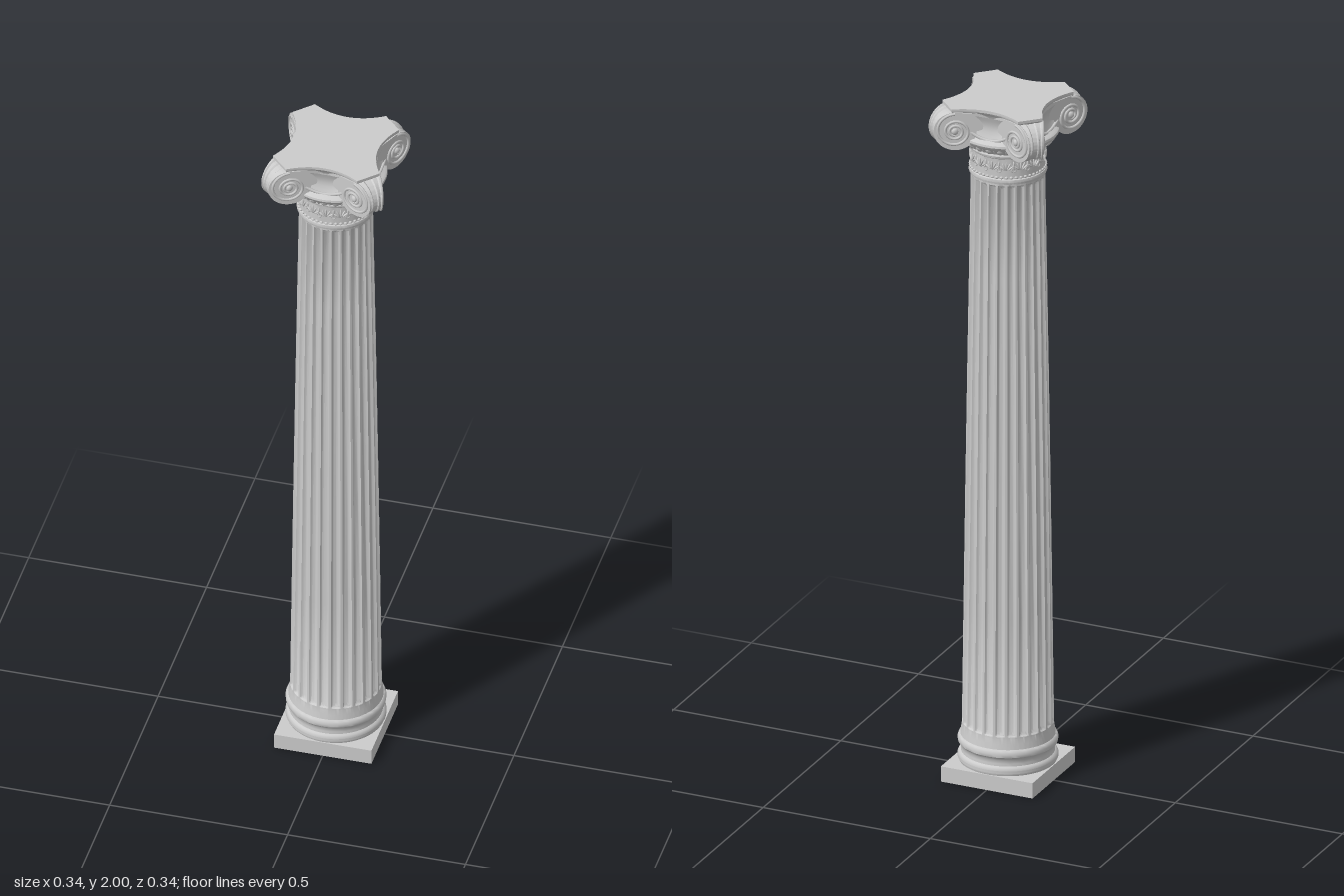
import * as THREE from 'three';
import { mergeGeometries, toCreasedNormals } from 'three/addons/utils/BufferGeometryUtils.js';
import { ParametricGeometry } from 'three/addons/geometries/ParametricGeometry.js';

const stone = new THREE.MeshStandardMaterial({ color: 0xcccccc, side: THREE.DoubleSide });
const V3 = (x, y, z) => new THREE.Vector3(x, y, z);

function add(parent, name, geometry, x = 0, y = 0, z = 0) {
  const mesh = new THREE.Mesh(geometry, stone);
  mesh.name = name;
  mesh.position.set(x, y, z);
  parent.add(mesh);
  return mesh;
}

const lathe = (pts, segments = 64) =>
  toCreasedNormals(new THREE.LatheGeometry(pts.map(p => new THREE.Vector2(...p)), segments), 0.6);

// Move every vertex of a geometry by a rule
function warp(geo, rule) {
  const p = geo.attributes.position, v = V3(0, 0, 0);
  for (let i = 0; i < p.count; i++) {
    rule(v.fromBufferAttribute(p, i));
    p.setXYZ(i, v.x, v.y, v.z);
  }
  return geo;
}

// Copies of a small geometry evenly spaced around the axis
function ringOf(geo, count, radius, y, phase = 0) {
  return mergeGeometries(Array.from({ length: count }, (_, i) =>
    geo.clone().translate(0, y, radius).rotateY((i + phase) / count * Math.PI * 2)));
}

const ellipsoid = (rx, ry, rz) => new THREE.SphereGeometry(1, 10, 6).scale(rx, ry, rz);

// Tapering shaft with 24 round-ended flutes
function flutedShaft() {
  const y0 = 0.155, y1 = 1.775, flutes = 24;
  const heights = [0.12, 0.135, 0.15, 0.155, 0.158, 0.162, 0.168, 0.5, 0.85, 1.2, 1.5, 1.762, 1.768, 1.772, 1.775, 1.785];
  const pts = heights.map(y => {
    const t = Math.max(0, (y - y0) / (y1 - y0));
    return new THREE.Vector2(0.125 - 0.019 * t - 0.005 * t * t + (y < 0.15 ? (0.15 - y) * 0.15 : 0), y);
  });
  const geo = warp(new THREE.LatheGeometry(pts, flutes * 10), v => {
    const r = Math.hypot(v.x, v.z);
    const cell = Math.atan2(v.z, v.x) / (Math.PI * 2) * flutes;
    const across = Math.abs(cell - Math.round(cell)) * 2 / 0.8;
    const end = Math.min(1, Math.max(0, Math.min(v.y - y0, y1 - v.y) / 0.013));
    const depth = 0.0105 * Math.sqrt(Math.max(0, 1 - across * across)) * Math.sqrt(end);
    v.x *= 1 - depth / r;
    v.z *= 1 - depth / r;
  });
  return toCreasedNormals(geo, 0.7);
}

// Abacus: concave sides, cut corners, cove underneath
function abacusGeometry() {
  const s = new THREE.Shape();
  s.moveTo(-0.10, 0.15).quadraticCurveTo(0, 0.086, 0.10, 0.15);
  s.lineTo(0.15, 0.10).quadraticCurveTo(0.086, 0, 0.15, -0.10);
  s.lineTo(0.10, -0.15).quadraticCurveTo(0, -0.086 , -0.10, -0.15);
  s.lineTo(-0.15, -0.10).quadraticCurveTo(-0.086, 0, -0.15, 0.10);
  s.closePath();
  const geo = new THREE.ExtrudeGeometry(s, { depth: 0.036, steps: 9, bevelEnabled: false, curveSegments: 16 });
  geo.rotateX(-Math.PI / 2);
  warp(geo, v => {
    const t = Math.min(1, v.y / 0.024);
    const k = v.y > 0.026 ? 1 : 0.88 + 0.1 * t * t;
    v.x *= k;
    v.z *= k;
  });
  return toCreasedNormals(geo, 0.5);
}

// Corner volute, built along +x and later turned onto a diagonal
const EYE = { s: 0.167, y: 1.935, r: 0.055 };
const halfWidth = s => 0.02 + (0.222 - s) * 0.35;

function voluteBody() {
  const s = new THREE.Shape();
  s.moveTo(0.07, 1.985);
  s.lineTo(EYE.s, EYE.y + EYE.r);
  s.absarc(EYE.s, EYE.y, EYE.r, Math.PI / 2, -Math.PI, true);
  s.lineTo(0.07, 1.95);
  s.closePath();
  const geo = new THREE.ExtrudeGeometry(s, { depth: 2, steps: 16, bevelEnabled: false, curveSegments: 40 });
  geo.translate(0, 0, -1);
  warp(geo, v => {
    // ridged rolling edge, hollow in the middle
    const a = Math.abs(v.z);
    const k = a > 0.8 ? 1 : a > 0.55 ? 0.93 : a > 0.3 ? 0.97 : 0.91;
    if (v.x > 0.1) {
      v.x = EYE.s + (v.x - EYE.s) * k;
      v.y = EYE.y + (v.y - EYE.y) * k;
    }
    v.z *= halfWidth(v.x);
  });
  return toCreasedNormals(geo, 0.6);
}

function voluteSpiral(side) {
  const pts = [];
  for (let i = 0; i <= 60; i++) {
    const t = i / 60, a = Math.PI / 2 - t * Math.PI * 5;
    const r = 0.051 * Math.pow(0.24, t);
    const x = EYE.s + r * Math.cos(a);
    pts.push(V3(x, EYE.y + r * Math.sin(a), side * halfWidth(x)));
  }
  return new THREE.TubeGeometry(new THREE.CatmullRomCurve3(pts), 120, 0.004, 6);
}

// Channel sweeping between two volutes of one face
const channelFloor = u => V3(0.1 * u, 1.914 + 0.062 * u * u, 0.12 + 0.014 * u * u);
function channelGeometry() {
  return new ParametricGeometry((a, b, target) => {
    const p = channelFloor(a * 2 - 1);
    target.set(p.x, p.y + (1.98 - p.y) * b, p.z - 0.008 * Math.sin(b * Math.PI));
  }, 24, 6);
}

export function createModel() {
  const model = new THREE.Group();
  model.name = 'column';

  // Base
  add(model, 'plinth', new THREE.BoxGeometry(0.274, 0.045, 0.274), 0, 0.0225, 0);
  add(model, 'baseMoulding', lathe([
    [0.125, 0.04], [0.133, 0.043], [0.137, 0.052], [0.137, 0.06], [0.133, 0.068], [0.128, 0.071],
    [0.127, 0.078], [0.128, 0.088], [0.132, 0.095], [0.136, 0.099], [0.137, 0.108], [0.134, 0.116],
    [0.129, 0.12], [0.12, 0.121]]));

  add(model, 'flutedShaft', flutedShaft());

  // Necking with a bead ring and palmette relief
  const capital = new THREE.Group();
  capital.name = 'capital';
  model.add(capital);
  add(capital, 'necking', lathe([
    [0.098, 1.78], [0.105, 1.782], [0.107, 1.788], [0.105, 1.795], [0.102, 1.797], [0.102, 1.803],
    [0.102, 1.855], [0.106, 1.858], [0.108, 1.864], [0.106, 1.87], [0.104, 1.872]]));
  add(capital, 'neckBeads', ringOf(ellipsoid(0.005, 0.004, 0.004), 48, 0.103, 1.801));
  const petals = mergeGeometries([-2, -1, 0, 1, 2].map(i =>
    ellipsoid(0.0025, 0.014 - Math.abs(i) * 0.002, 0.004).translate(0, 0.015, 0).rotateZ(-i * 0.45)));
  add(capital, 'palmettes', ringOf(petals, 16, 0.102, 1.82));
  const bud = mergeGeometries([ellipsoid(0.003, 0.012, 0.004),
    new THREE.TorusGeometry(0.006, 0.002, 5, 12).translate(0, -0.014, 0)]);
  add(capital, 'buds', ringOf(bud, 16, 0.102, 1.837, 0.5));

  // Echinus with eggs and darts
  add(capital, 'echinus', lathe([
    [0.103, 1.868], [0.112, 1.873], [0.125, 1.884], [0.135, 1.894], [0.14, 1.902], [0.139, 1.908],
    [0.133, 1.913], [0.12, 1.916], [0.111, 1.925], [0.111, 1.975]]));
  const egg = ellipsoid(0.01, 0.014, 0.007).rotateX(0.7);
  add(capital, 'eggs', ringOf(egg, 24, 0.122, 1.885));
  add(capital, 'darts', ringOf(ellipsoid(0.0025, 0.013, 0.005).rotateX(0.7), 24, 0.123, 1.885, 0.5));

  // Four corner volutes and four channels between them
  const body = voluteBody(), channel = channelGeometry();
  const rim = new THREE.TubeGeometry(new THREE.CatmullRomCurve3(
    [-1, -0.75, -0.5, -0.25, 0, 0.25, 0.5, 0.75, 1].map(channelFloor)), 40, 0.0045, 6);
  const spirals = [-1, 1].map(voluteSpiral);
  for (let i = 0; i < 4; i++) {
    const volute = new THREE.Group();
    volute.name = 'cornerVolute';
    volute.rotation.y = Math.PI / 4 + i * Math.PI / 2;
    capital.add(volute);
    add(volute, 'scroll', body);
    spirals.forEach(g => add(volute, 'spiral', g));
    for (const side of [-1, 1]) {
      add(volute, 'eye', ellipsoid(0.01, 0.01, 0.006), EYE.s, EYE.y, side * halfWidth(EYE.s));
    }
    add(capital, 'channel', channel).rotation.y = i * Math.PI / 2;
    add(capital, 'channelRim', rim).rotation.y = i * Math.PI / 2;
  }

  add(capital, 'abacus', abacusGeometry(), 0, 1.964, 0);
  return model;
}
